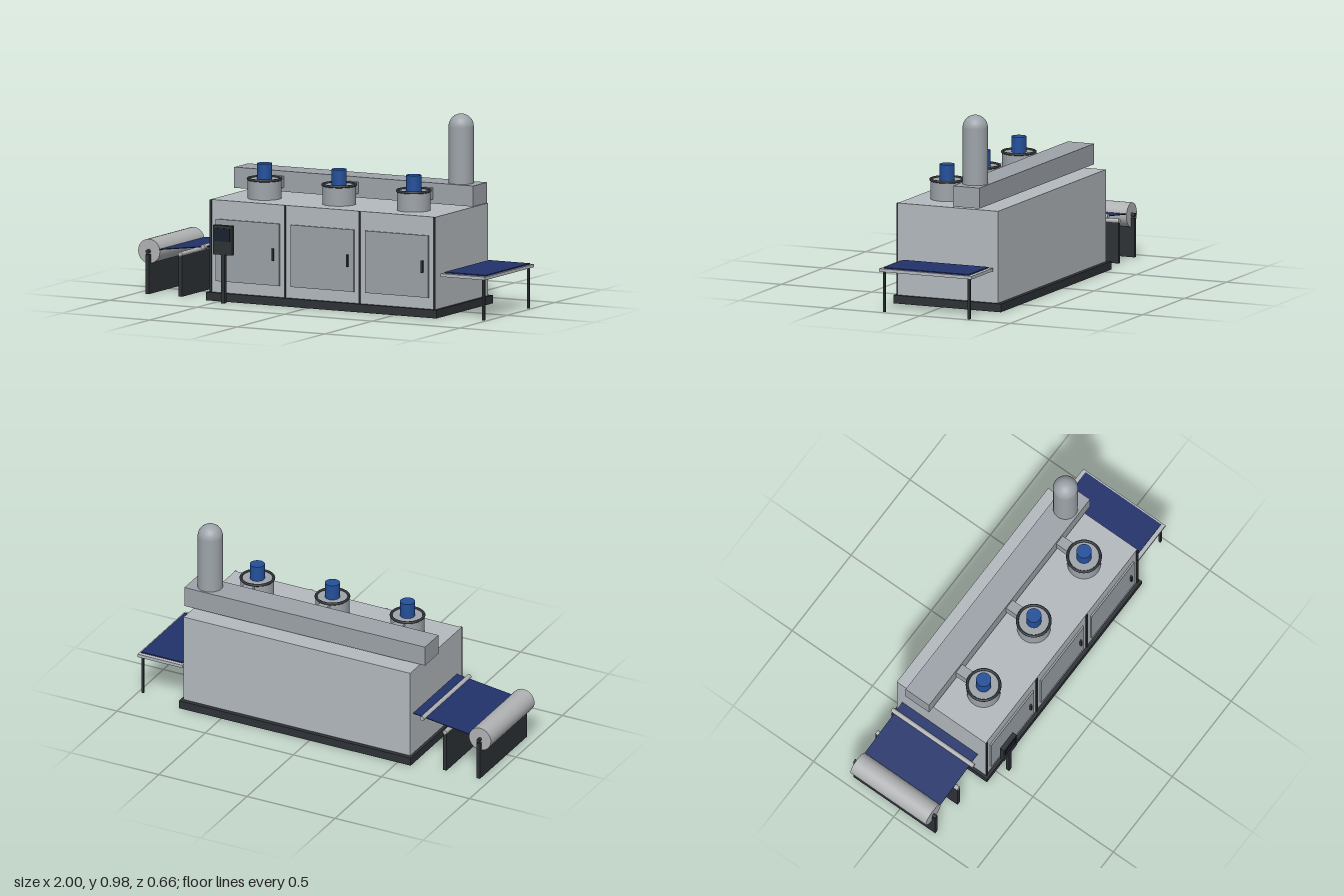
import * as THREE from 'three';

const mat = (color) => new THREE.MeshStandardMaterial({ color });
const M = {
  body: mat(0xb4babe), door: mat(0x9ba2a7), duct: mat(0x9ea4aa), metal: mat(0xb0b2b4),
  dark: mat(0x2e3236), screen: mat(0x18222d), motor: mat(0x24509c), fabric: mat(0x22326a),
};

export function createModel() {
  const model = new THREE.Group();

  const add = (name, geometry, material, x = 0, y = 0, z = 0) => {
    const mesh = new THREE.Mesh(geometry, material);
    mesh.name = name;
    mesh.position.set(x, y, z);
    model.add(mesh);
    return mesh;
  };
  // Box given by its limits on each axis
  const box = (name, material, x0, x1, y0, y1, z0, z1) =>
    add(name, new THREE.BoxGeometry(x1 - x0, y1 - y0, z1 - z0), material,
      (x0 + x1) / 2, (y0 + y1) / 2, (z0 + z1) / 2);
  // Upright cylinder from y0 to y1
  const post = (name, material, r, x, y0, y1, z) =>
    add(name, new THREE.CylinderGeometry(r, r, y1 - y0, 32), material, x, (y0 + y1) / 2, z);
  // Cylinder lying along z
  const roller = (name, material, r, x, y, z0, z1) => {
    const mesh = add(name, new THREE.CylinderGeometry(r, r, z1 - z0, 32), material, x, y, (z0 + z1) / 2);
    mesh.rotation.x = Math.PI / 2;
  };

  // Plinth and main cabinet
  box('base', M.dark, -0.575, 0.74, 0, 0.042, -0.327, 0.268);
  box('cabinet', M.body, -0.56, 0.725, 0.042, 0.511, -0.304, 0.25);

  // Dark strips between the cabinet sections
  for (const x of [-0.556, -0.132, 0.293, 0.721]) {
    box('dividerStrip', M.dark, x - 0.005, x + 0.005, 0.042, 0.511, 0.248, 0.256);
  }

  // Each section: door, handle, fan and its branch to the duct
  for (const x of [-0.344, 0.082, 0.508]) {
    box('door', M.door, x - 0.181, x + 0.181, 0.1, 0.415, 0.249, 0.259);
    box('doorHandle', M.dark, x + 0.143, x + 0.153, 0.226, 0.288, 0.257, 0.27);
    post('fanHousing', M.duct, 0.085, x, 0.511, 0.608, 0.078);
    const rim = add('fanRim', new THREE.TorusGeometry(0.083, 0.007, 12, 40), M.dark, x, 0.609, 0.078);
    rim.rotation.x = Math.PI / 2;
    post('fanMotor', M.motor, 0.038, x, 0.606, 0.688, 0.078);
    box('branchDuct', M.duct, x - 0.027, x + 0.027, 0.546, 0.605, -0.08, 0.02);
  }

  // Exhaust duct with domed stack
  box('mainDuct', M.duct, -0.6, 0.765, 0.525, 0.63, -0.22, -0.074);
  post('exhaustStack', M.duct, 0.0635, 0.657, 0.63, 0.917, -0.147);
  add('stackDome', new THREE.SphereGeometry(0.0635, 32, 16, 0, Math.PI * 2, 0, Math.PI / 2),
    M.duct, 0.657, 0.917, -0.147);

  // Control panel on its post
  box('controlPost', M.dark, -0.461, -0.441, 0, 0.25, 0.302, 0.322);
  box('controlBox', M.dark, -0.505, -0.398, 0.246, 0.395, 0.299, 0.324);
  box('controlScreen', M.screen, -0.496, -0.408, 0.315, 0.38, 0.32, 0.328);

  // Feed roll, stand plates and guide rollers
  box('rollStand', M.dark, -0.948, -0.928, 0, 0.2, -0.29, 0.22);
  roller('rollShaft', M.dark, 0.01, -0.938, 0.215, -0.29, 0.22);
  roller('feedRoll', M.metal, 0.062, -0.938, 0.215, -0.27, 0.2);
  box('guideStand', M.dark, -0.759, -0.739, 0, 0.208, -0.29, 0.22);
  roller('guideRoller', M.metal, 0.012, -0.749, 0.215, -0.29, 0.22);
  roller('entryRoller', M.metal, 0.012, -0.62, 0.261, -0.29, 0.22);

  // Fabric sloping up from the roll into the cabinet
  const run = 0.327, rise = 0.041;
  const fabric = add('fabricSheet', new THREE.BoxGeometry(Math.hypot(run, rise), 0.004, 0.47),
    M.fabric, -0.7165, 0.2475, -0.035);
  fabric.rotation.z = Math.atan2(rise, run);

  // Delivery table with the finished sheet
  box('tableTop', M.body, 0.743, 0.997, 0.207, 0.223, -0.285, 0.227);
  box('tableSheet', M.fabric, 0.753, 0.987, 0.222, 0.229, -0.264, 0.206);
  for (const z of [-0.263, 0.207]) {
    box('tableLeg', M.dark, 0.972, 0.984, 0, 0.208, z - 0.006, z + 0.006);
  }

  return model;
}
